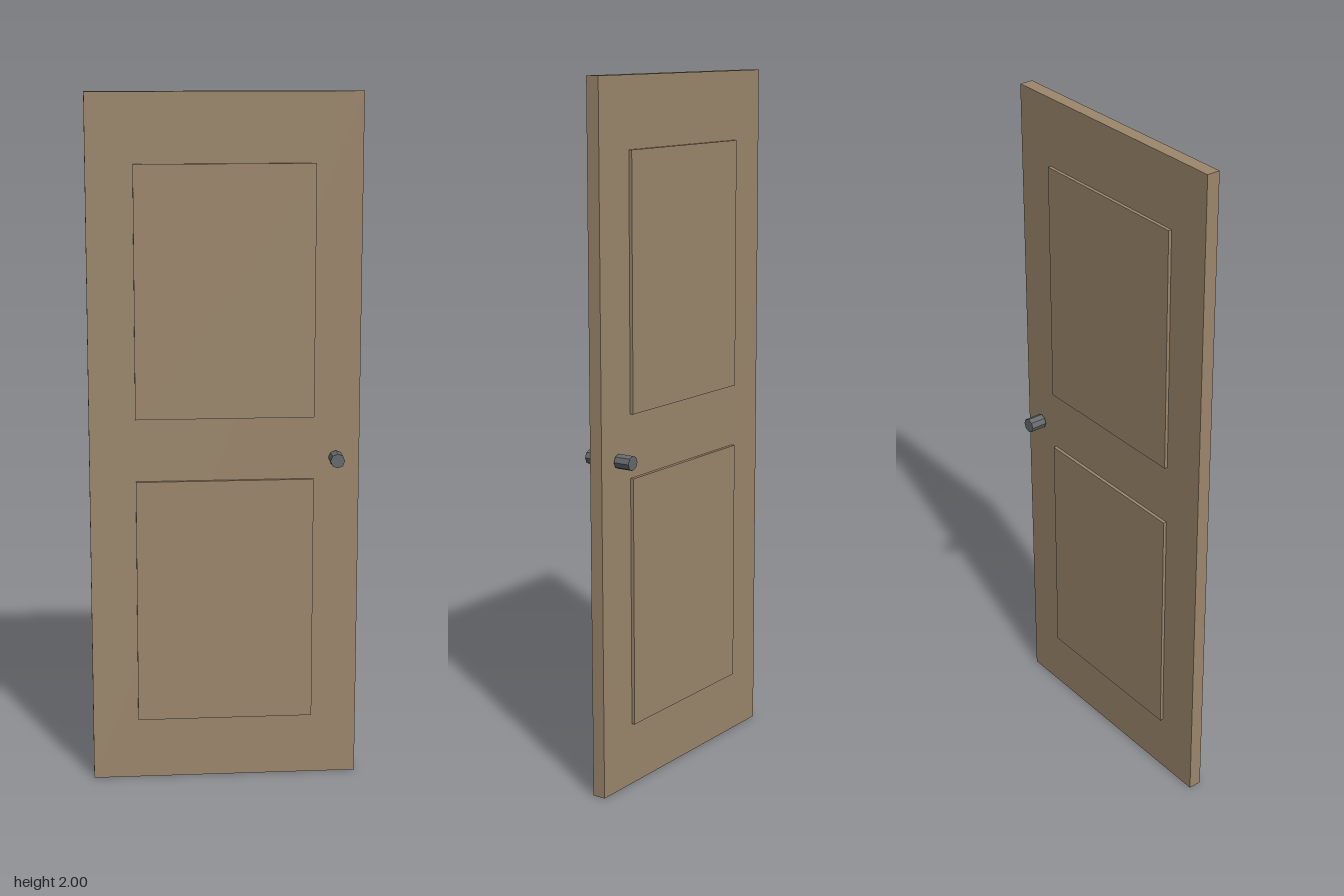
import * as THREE from 'three';

export function createModel() {
  const door = new THREE.Group();
  door.name = 'door';

  const wood = new THREE.MeshStandardMaterial({ color: 0x9c876c });
  wood.name = 'wood';
  const metal = new THREE.MeshStandardMaterial({ color: 0x666a6c, flatShading: true });
  metal.name = 'dark metal';

  const add = (name, geometry, material, x, y, z) => {
    const mesh = new THREE.Mesh(geometry, material);
    mesh.name = name;
    mesh.position.set(x, y, z);
    door.add(mesh);
    return mesh;
  };

  // Door slab
  add('slab', new THREE.BoxGeometry(0.776, 2, 0.039), wood, 0, 1, 0);

  // Raised panels and an eight-sided knob, repeated on both faces
  const panel = new THREE.BoxGeometry(0.512, 0.72, 0.01);
  const knob = new THREE.CylinderGeometry(0.021, 0.021, 0.0485, 8).rotateY(Math.PI / 2).rotateX(Math.PI / 2);
  for (const [side, s] of [['front', 1], ['back', -1]]) {
    add(side + 'LowerPanel', panel, wood, 0, 0.541, s * 0.0242);
    add(side + 'UpperPanel', panel, wood, 0, 1.443, s * 0.0242);
    add(side + 'Knob', knob, metal, 0.319, 0.963, s * 0.0495);
  }

  return door;
}
